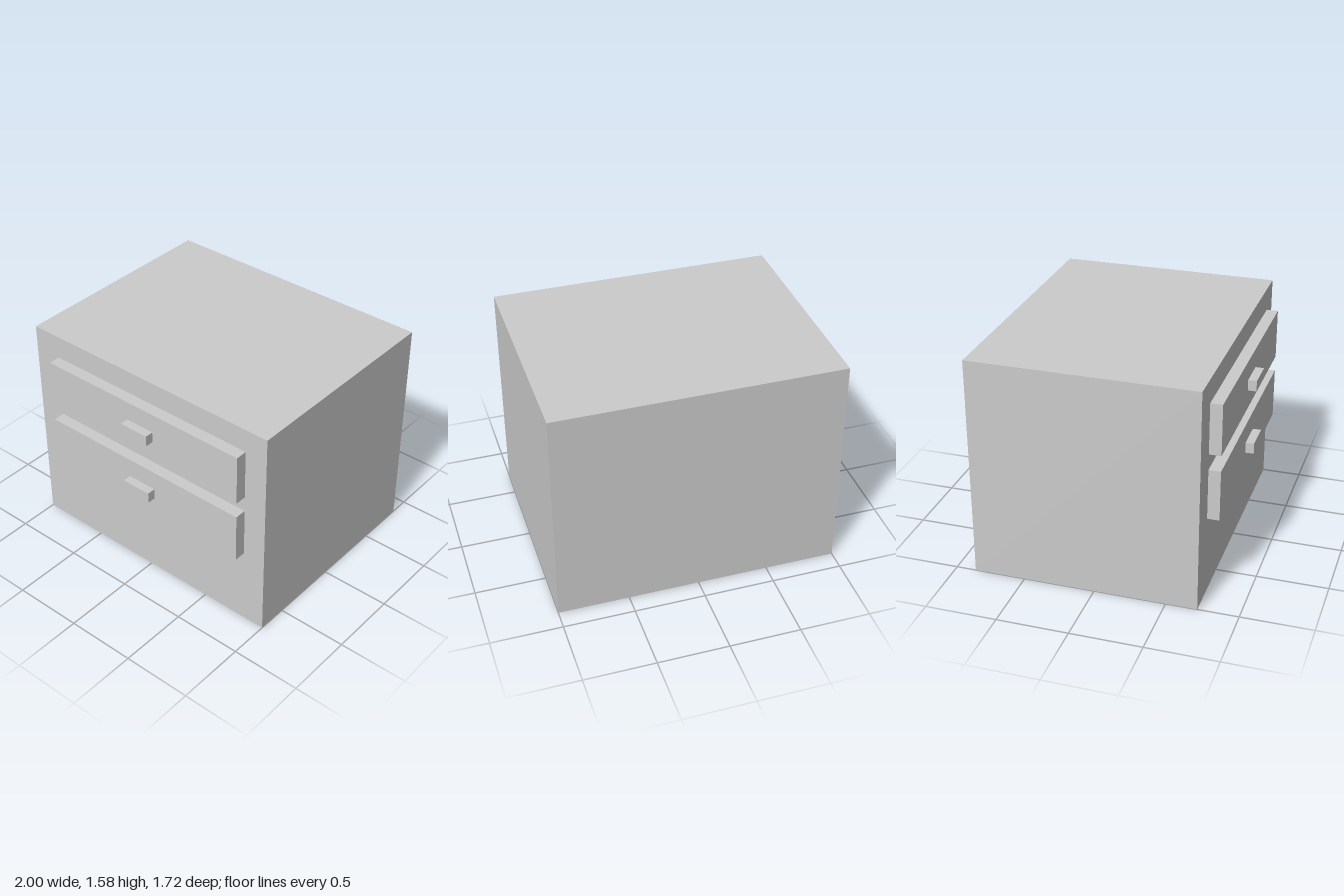
import * as THREE from 'three';

const material = new THREE.MeshStandardMaterial({ color: 0xcccccc, flatShading: true });

// Box given by its extents along each axis
function block(name, [x0, x1], [y0, y1], [z0, z1]) {
  const mesh = new THREE.Mesh(new THREE.BoxGeometry(x1 - x0, y1 - y0, z1 - z0), material);
  mesh.position.set((x0 + x1) / 2, (y0 + y1) / 2, (z0 + z1) / 2);
  mesh.name = name;
  return mesh;
}

export function createModel() {
  const cabinet = new THREE.Group();
  cabinet.name = 'cabinet';

  // Solid body
  cabinet.add(block('body', [-1, 1], [0, 1.58], [-0.86, 0.717]));

  // Two drawers, each a front panel with a small handle
  const drawers = [['lowerDrawer', 0.577], ['upperDrawer', 1.051]];
  for (const [name, y] of drawers) {
    const drawer = new THREE.Group();
    drawer.name = name;
    drawer.position.y = y;
    drawer.add(
      block('drawerFront', [-0.797, 0.834], [0, 0.361], [0.717, 0.8]),
      block('handle', [-0.092, 0.129], [0.142, 0.219], [0.8, 0.86])
    );
    cabinet.add(drawer);
  }
  return cabinet;
}
